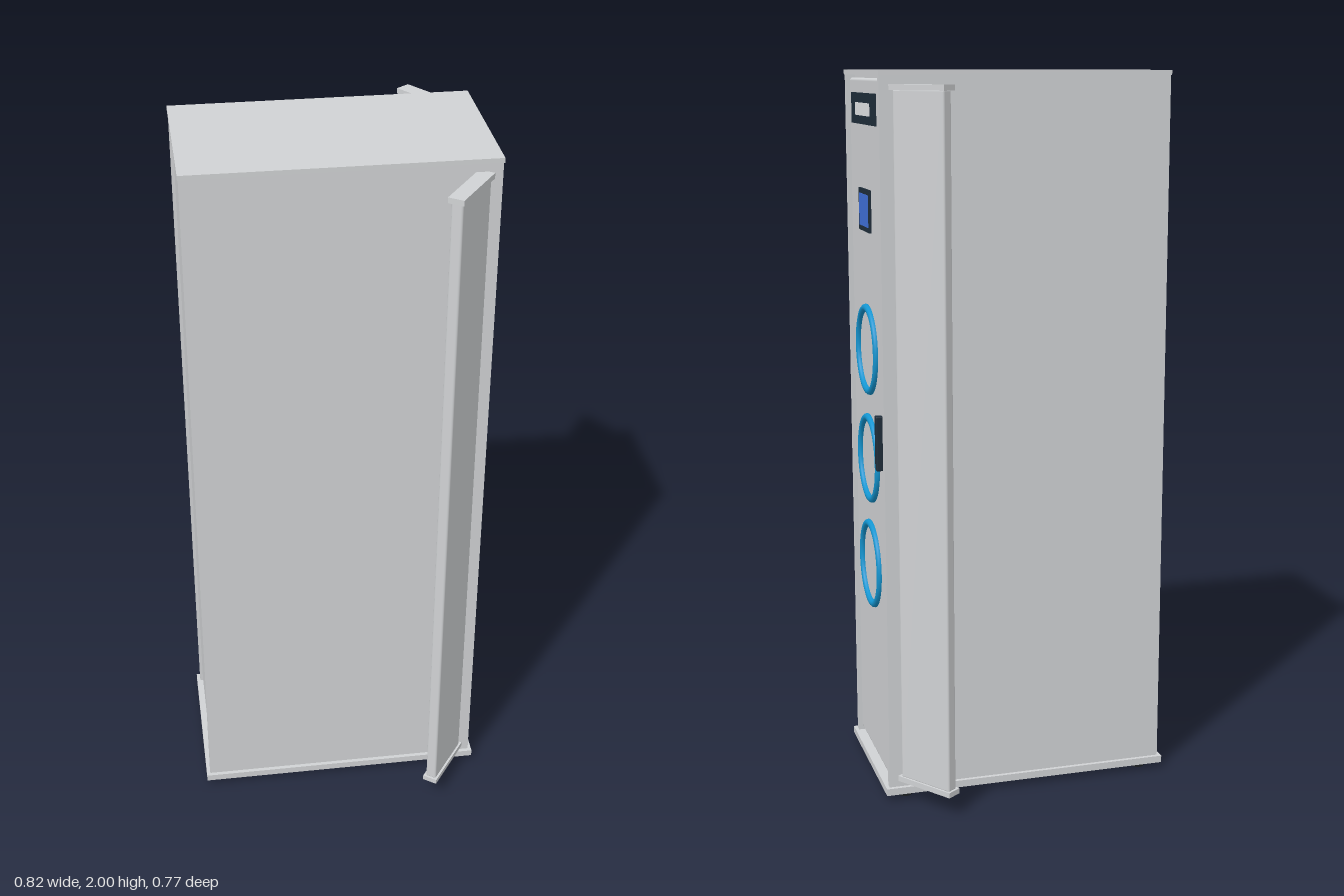
import * as THREE from 'three';
import { RoundedBoxGeometry } from 'three/addons/geometries/RoundedBoxGeometry.js';

const material = (name, color) => {
  const m = new THREE.MeshStandardMaterial({ color });
  m.name = name;
  return m;
};

export function createModel() {
  const grey = material('light grey metal', 0xd0d2d4);
  const white = material('white label', 0xe8eaec);
  const navy = material('dark navy', 0x1f2d3a);
  const blue = material('screen blue', 0x3f6fd8);
  const cyan = material('ring blue', 0x1496d2);
  const black = material('black rubber', 0x1c2024);

  const model = new THREE.Group();
  model.name = 'cabinet';

  const add = (name, geometry, mat, x, y, z, parent = model) => {
    const mesh = new THREE.Mesh(geometry, mat);
    mesh.name = name;
    mesh.position.set(x, y, z);
    parent.add(mesh);
    return mesh;
  };
  // Box given by its limits along each axis
  const box = (name, mat, [x0, x1], [y0, y1], [z0, z1], parent = model) =>
    add(name, new THREE.BoxGeometry(x1 - x0, y1 - y0, z1 - z0), mat,
      (x0 + x1) / 2, (y0 + y1) / 2, (z0 + z1) / 2, parent);

  // Base plate, shell walls, top and inner core
  box('basePlate', grey, [-0.41, 0.41], [0.017, 0.037], [-0.236, 0.236]);
  box('topPlate', grey, [-0.402, 0.402], [1.987, 2], [-0.2275, 0.2275]);
  box('core', grey, [-0.375, 0.375], [0.037, 1.987], [-0.21, 0.21]);
  for (const s of [-1, 1]) {
    box('sideWall', grey, [-0.4, 0.4], [0.037, 1.987], s > 0 ? [0.205, 0.225] : [-0.225, -0.205]);
  }

  // Recessed door on one end and matching panel on the other
  for (const s of [-1, 1]) {
    add(s > 0 ? 'door' : 'backPanel', new RoundedBoxGeometry(0.03, 1.925, 0.396, 2, 0.008), grey,
      s * 0.377, 1.0165, 0);
  }

  // Feet
  for (const x of [-0.35, 0.35]) {
    for (const z of [-0.194, 0.194]) {
      add('foot', new THREE.CylinderGeometry(0.02, 0.02, 0.018, 24), black, x, 0.009, z);
    }
  }

  // Door fittings
  box('signPlate', navy, [0.391, 0.397], [1.857, 1.94], [-0.153, 0.153]);
  box('signBar', white, [0.396, 0.399], [1.88, 1.914], [-0.09, 0.09]);
  box('screenFrame', navy, [0.391, 0.398], [1.57, 1.685], [-0.069, 0.069]);
  box('screen', blue, [0.397, 0.4], [1.584, 1.671], [-0.055, 0.055]);
  for (const y of [0.626, 0.934, 1.243]) {
    const ring = add('ring', new THREE.TorusGeometry(0.116, 0.0105, 12, 64), cyan, 0.394, y, 0);
    ring.rotation.y = Math.PI / 2;
  }
  add('handle', new RoundedBoxGeometry(0.02, 0.152, 0.024, 2, 0.004), navy, 0.4, 1.011, -0.158);

  // Angled side wings with end caps
  for (const s of [-1, 1]) {
    const wing = new THREE.Group();
    wing.name = s > 0 ? 'leftWing' : 'rightWing';
    wing.position.set(0.3055, 0, s * 0.2975);
    wing.rotation.y = -s * 0.624;
    model.add(wing);
    add('wingPanel', new RoundedBoxGeometry(0.032, 1.884, 0.172, 2, 0.006), grey, 0, 1.012, 0, wing);
    for (const y of [0.066, 1.958]) {
      add('wingCap', new THREE.BoxGeometry(0.043, 0.015, 0.185), grey, 0, y, 0, wing);
    }
  }

  return model;
}
